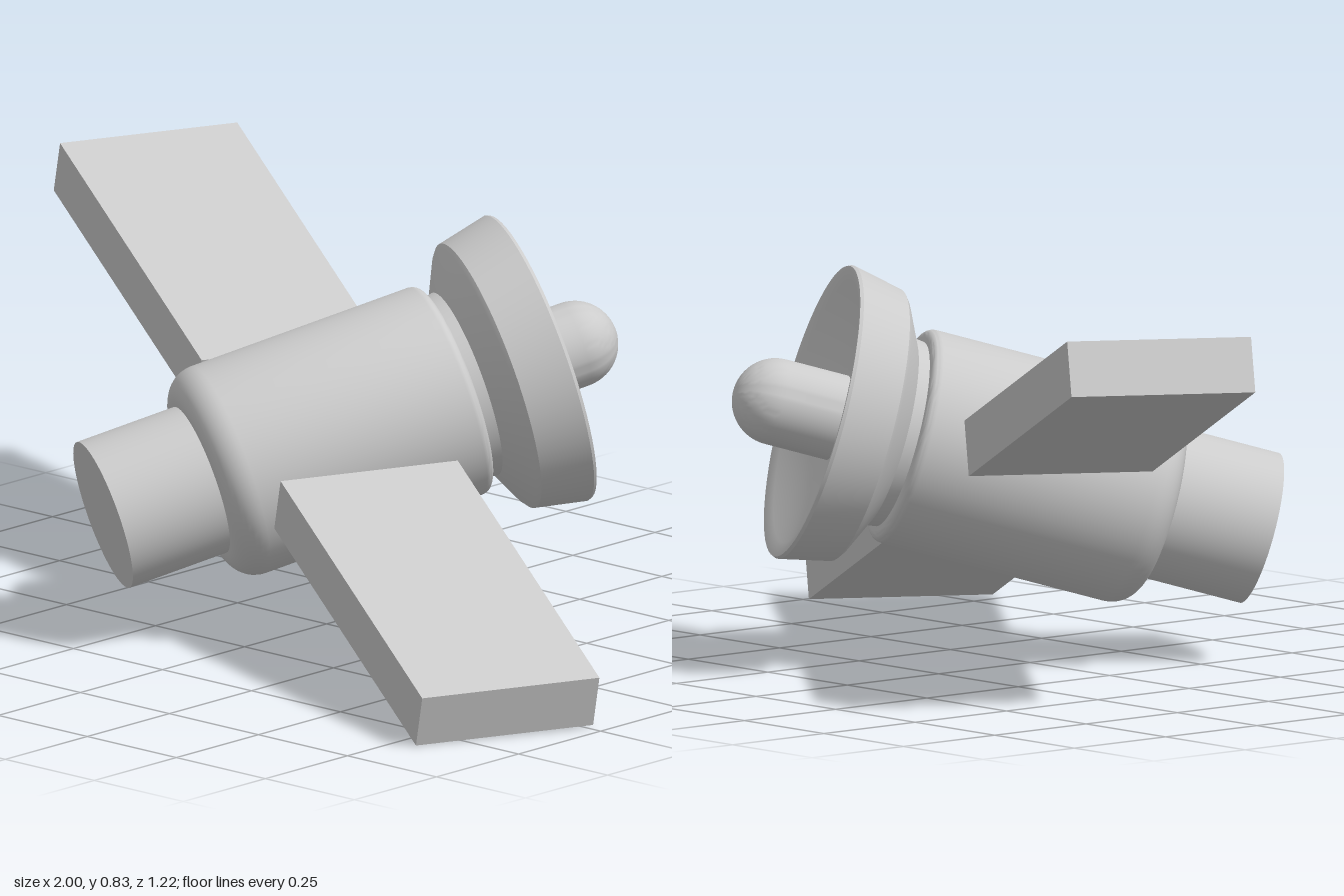
import * as THREE from 'three';
import { toCreasedNormals } from 'three/addons/utils/BufferGeometryUtils.js';

const grey = new THREE.MeshStandardMaterial({ color: 0xcccccc });

// points of a circular arc in a lathe profile (radius, height)
function arc(cx, cy, r, from, to, steps) {
  return Array.from({ length: steps + 1 }, (_, i) => {
    const a = from + (to - from) * i / steps;
    return [cx + r * Math.cos(a), cy + r * Math.sin(a)];
  });
}

// solid of revolution around the main axis, listed from front (-y) to rear (+y)
function turned(name, profile) {
  const points = profile.map(([r, h]) => new THREE.Vector2(Math.max(r, 0), h));
  const mesh = new THREE.Mesh(toCreasedNormals(new THREE.LatheGeometry(points, 64), 0.45), grey);
  mesh.name = name;
  return mesh;
}

export function createModel() {
  const model = new THREE.Group();
  model.name = 'satellite';

  // tilted frame: x along the panels, y across them to the rear, z through their thickness
  const frame = new THREE.Group();
  frame.name = 'tiltedFrame';
  const span = new THREE.Vector3(0.854, -0.33, 0.403).normalize();
  const across = new THREE.Vector3(0.431, 0.013, -0.901);
  const normal = new THREE.Vector3().crossVectors(span, across).normalize();
  across.crossVectors(normal, span);
  frame.quaternion.setFromRotationMatrix(new THREE.Matrix4().makeBasis(span, across, normal));
  frame.position.y = 0.405;
  model.add(frame);

  // two solar panels, touching the sides of the body
  for (const side of [-1, 1]) {
    const panel = new THREE.Mesh(new THREE.BoxGeometry(0.825, 0.394, 0.117), grey);
    panel.name = side > 0 ? 'leftPanel' : 'rightPanel';
    panel.position.x = side * 0.642;
    frame.add(panel);
  }

  // the body is pitched against the panels
  const hull = new THREE.Group();
  hull.name = 'hull';
  hull.rotation.x = 0.28;
  frame.add(hull);

  // main barrel with a wide rounding at the front and a small one at the rear
  hull.add(turned('body', [
    [0, -0.283],
    ...arc(0.164, -0.22, 0.063, -Math.PI / 2, 0, 10),
    ...arc(0.207, 0.265, 0.02, 0, Math.PI / 2, 5),
    [0, 0.285],
  ]));

  // front nozzle
  hull.add(turned('nozzle', [[0, -0.5], [0.16, -0.5], [0.16, -0.25], [0, -0.25]]));

  // dish: neck, conical back, flared rim band and shallow bowl
  const bowl = Array.from({ length: 13 }, (_, i) => {
    const r = 0.303 * (1 - i / 12);
    return [r, 0.415 + 0.06 * (r / 0.303) ** 2];
  });
  hull.add(turned('dish', [
    [0, 0.27], [0.195, 0.27], [0.2, 0.31], [0.28, 0.352], [0.29, 0.36], [0.313, 0.468], [0.31, 0.475],
    ...bowl,
  ]));

  // round-tipped antenna in the middle of the dish
  hull.add(turned('antenna', [
    [0, 0.4], [0.09, 0.4],
    ...arc(0, 0.555, 0.09, 0, Math.PI / 2, 14),
  ]));

  return model;
}
